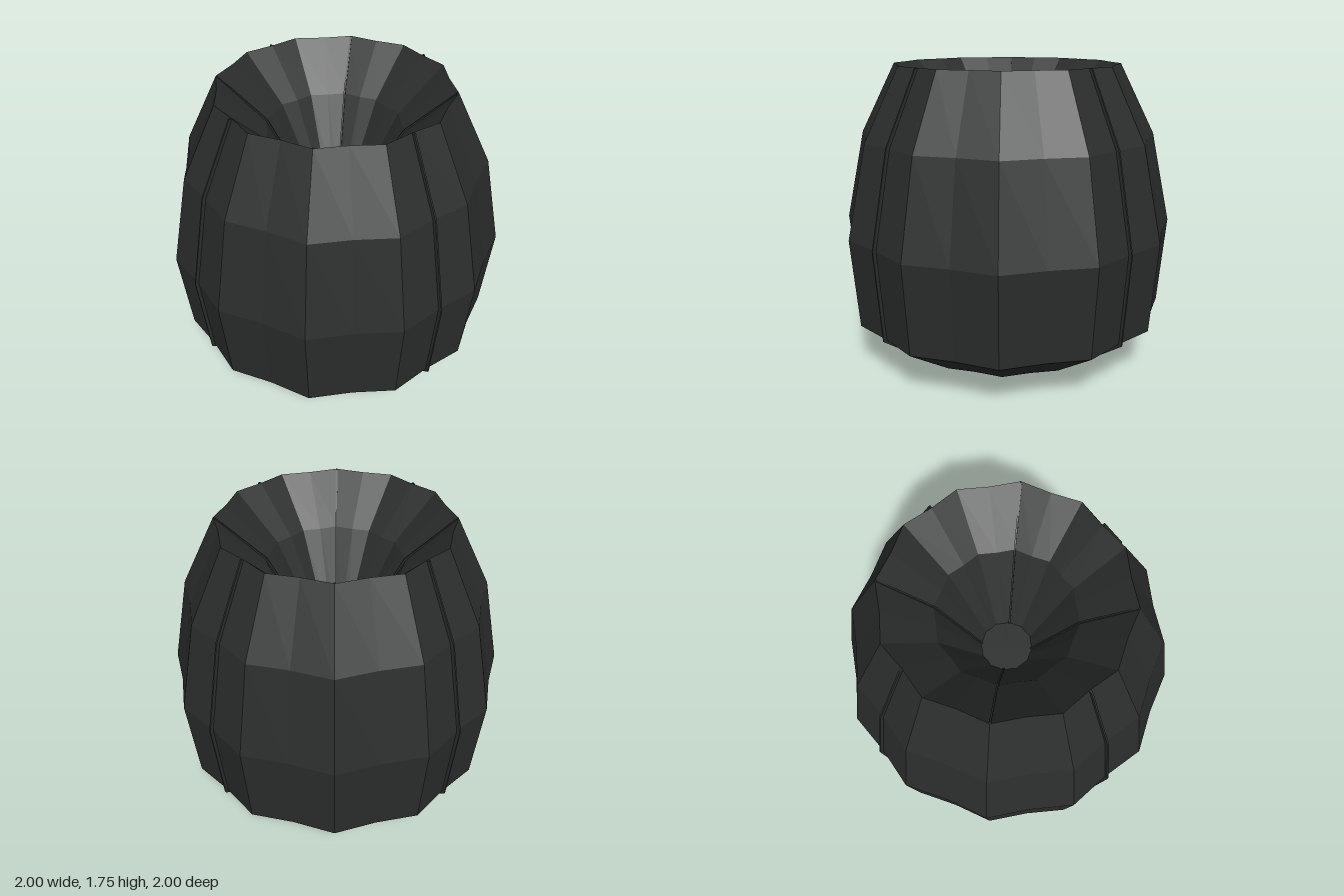
import * as THREE from 'three';

const LOBES = 12;
const VALLEY = 0.953; // radius factor between two lobes
const HEIGHT = 1.75;

// Profiles as [radius, y]
const OUTER = [[0.635, 0.045], [0.96, 0.27], [1, 0.8], [0.88, 1.34], [0.67, HEIGHT]];
const INNER = [[0.67, HEIGHT], [0.4, 1.49], [0.155, 1.02]];

const material = new THREE.MeshStandardMaterial({ color: 0x2b2d2d, flatShading: true });

const toVectors = (list, scale = 1) => list.map(([r, y]) => new THREE.Vector2(r * scale, y));

// Lathe whose every second column is pulled in to make shallow scallops
function scallopedLathe(points) {
  const geometry = new THREE.LatheGeometry(points, LOBES * 2);
  const pos = geometry.attributes.position;
  for (let i = 0; i < pos.count; i++) {
    const column = Math.floor(i / points.length);
    if (column % 2) pos.setXYZ(i, pos.getX(i) * VALLEY, pos.getY(i), pos.getZ(i) * VALLEY);
  }
  const flat = geometry.toNonIndexed();
  flat.computeVertexNormals();
  return flat;
}

// Thin radial strip that follows a profile and stands proud of it
function seamGeometry(points, proud, width) {
  const raised = points.map((p, i) => {
    const a = points[Math.max(i - 1, 0)];
    const b = points[Math.min(i + 1, points.length - 1)];
    const t = b.clone().sub(a).normalize();
    return new THREE.Vector2(p.x + t.y * proud, Math.min(p.y - t.x * proud, HEIGHT));
  });
  const shape = new THREE.Shape([...points, ...raised.reverse()]);
  const geometry = new THREE.ExtrudeGeometry(shape, { depth: width, bevelEnabled: false });
  return geometry.translate(0, 0, -width / 2);
}

function addSeams(group, name, geometry, startAngle) {
  for (let i = 0; i < 4; i++) {
    const seam = new THREE.Mesh(geometry, material);
    seam.name = name + (i + 1);
    seam.rotation.y = startAngle + (i * Math.PI) / 2;
    group.add(seam);
  }
}

export function createModel() {
  const group = new THREE.Group();
  group.name = 'scallopedPot';

  // Outer wall with its slightly pointed base
  const wall = new THREE.Mesh(scallopedLathe([new THREE.Vector2(0, 0), ...toVectors(OUTER)]), material);
  wall.name = 'outerWall';

  // Funnel-shaped hollow with a small flat floor
  const hollow = new THREE.Mesh(scallopedLathe([...toVectors(INNER), new THREE.Vector2(0, 1.02)]), material);
  hollow.name = 'innerFunnel';
  group.add(wall, hollow);

  // Seams: outside along the diagonal valleys, inside along the main axes
  addSeams(group, 'outerSeam', seamGeometry(toVectors(OUTER, VALLEY), 0.02, 0.01), Math.PI / 4);
  addSeams(group, 'innerSeam', seamGeometry(toVectors(INNER), 0.012, 0.01), 0);

  return group;
}
